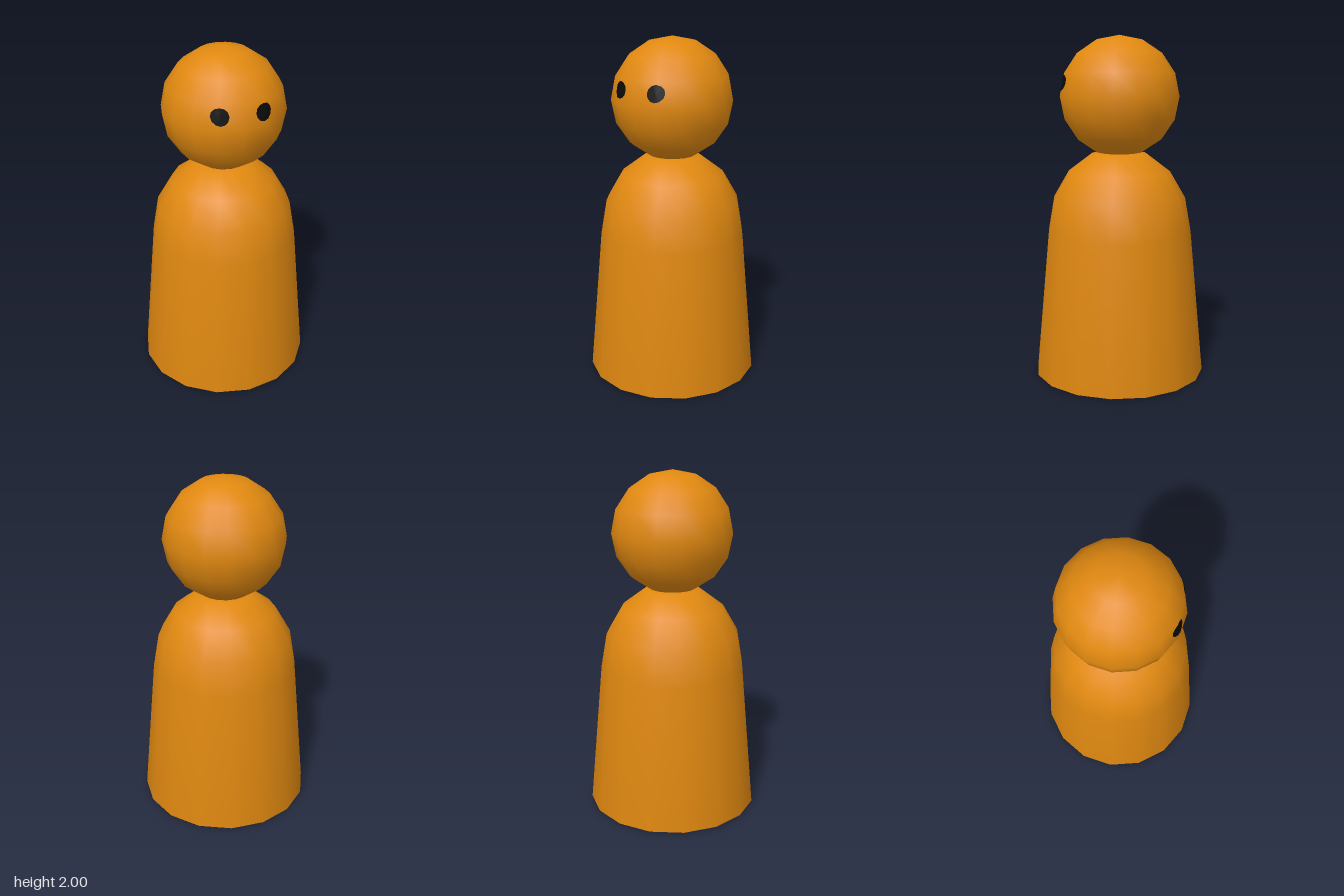
import * as THREE from 'three';

const SEGMENTS = 16;
const HEAD_Y = 1.65;
const HEAD_RADIUS = 0.35;

// Disc laid onto the front of the faceted head, slightly raised
function eyeGeometry(head, x, y, radius) {
  const geometry = new THREE.RingGeometry(0, radius, 12, 5);
  const position = geometry.attributes.position;
  const ray = new THREE.Raycaster();
  const backward = new THREE.Vector3(0, 0, -1);
  head.updateMatrixWorld(true);
  for (let i = 0; i < position.count; i++) {
    const px = x + position.getX(i);
    const py = y + position.getY(i);
    ray.set(new THREE.Vector3(px, py, 1), backward);
    const hit = ray.intersectObject(head)[0];
    position.setXYZ(i, px, py, (hit ? hit.point.z : 0.3) + 0.004);
  }
  geometry.computeVertexNormals();
  return geometry;
}

export function createModel() {
  const model = new THREE.Group();
  const orange = new THREE.MeshStandardMaterial({ color: 0xe08810 });
  const black = new THREE.MeshStandardMaterial({ color: 0x0a0a0a, side: THREE.DoubleSide });

  // Tapered body with rounded shoulders and a softened base rim
  const profile = [
    [0, 0], [0.455, 0], [0.505, 0.006], [0.425, 0.86], [0.39, 1.06],
    [0.3, 1.215], [0.16, 1.32], [0, 1.32],
  ].map(([r, y]) => new THREE.Vector2(r, y));
  const body = new THREE.Mesh(new THREE.LatheGeometry(profile, SEGMENTS), orange);
  body.name = 'body';
  model.add(body);

  // Round head resting on the body
  const head = new THREE.Mesh(new THREE.SphereGeometry(HEAD_RADIUS, SEGMENTS, 8), orange);
  head.name = 'head';
  head.position.y = HEAD_Y;
  model.add(head);

  // Eyes
  for (const side of [-1, 1]) {
    const eye = new THREE.Mesh(eyeGeometry(head, side * 0.12, 1.727, 0.047), black);
    eye.name = side > 0 ? 'leftEye' : 'rightEye';
    model.add(eye);
  }

  return model;
}
